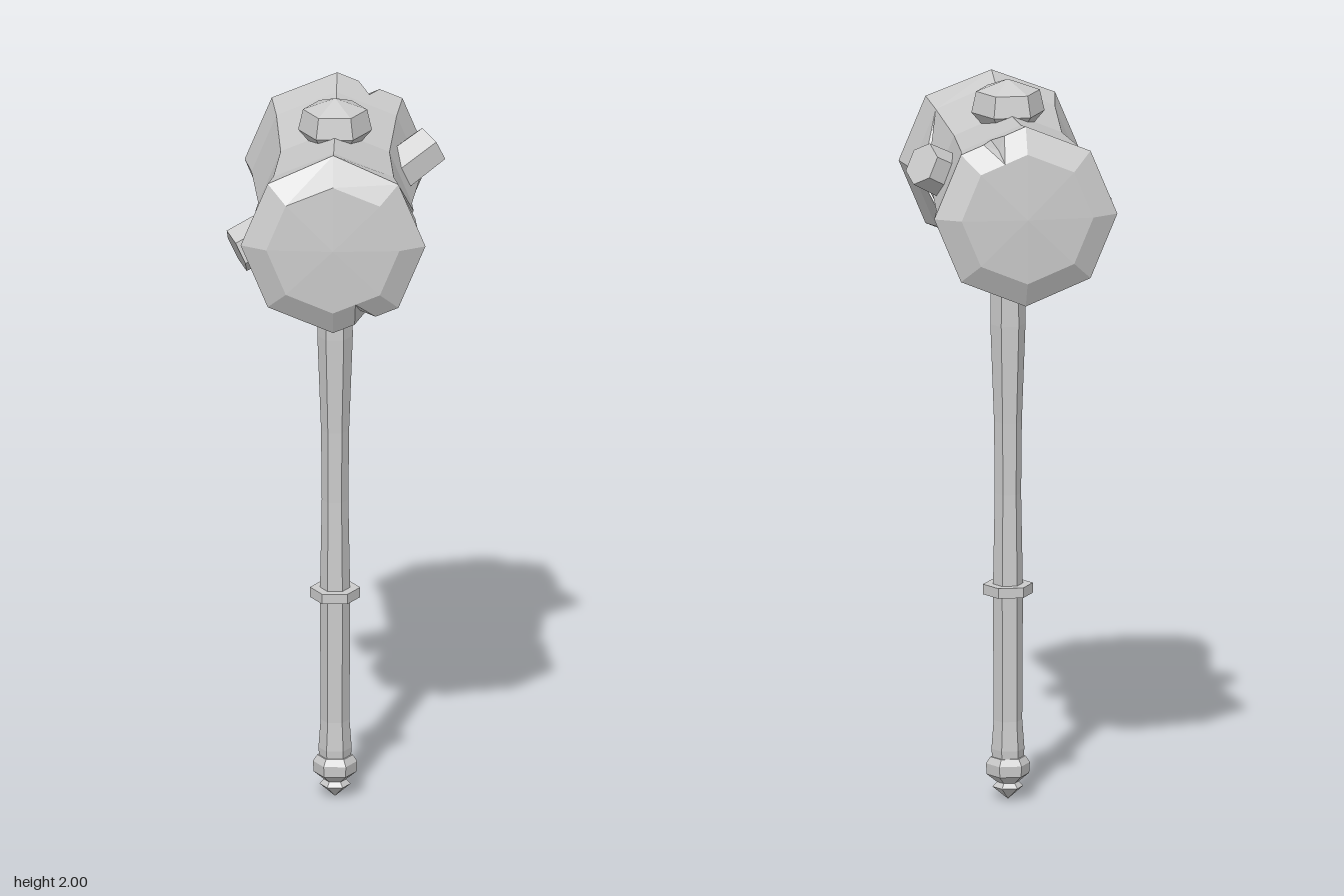
import * as THREE from 'three';

const HEAD_Y = 1.7;
const V = (x, y, z) => new THREE.Vector3(x, y, z);
const mix = (a, b, t) => a.clone().lerp(b, t);

// Octagonal stone head along z, with a diagonal crack and two chipped rims
function headGeometry() {
  const rings = [[-0.39, 0.18], [-0.353, 0.25], [-0.25, 0.23], [0, 0.208], [0.25, 0.23], [0.35, 0.25], [0.39, 0.18]];
  const p = (k, i) => {
    const a = (i * Math.PI) / 4;
    const [z, r] = rings[k];
    // front rim is worn back a little at the top
    return V(r * Math.cos(a), r * Math.sin(a), k === 5 && i % 8 === 2 ? 0.325 : z);
  };
  const out = [];
  const tri = (a, b, c) => {
    const n = b.clone().sub(a).cross(c.clone().sub(a));
    const flip = n.dot(a.clone().add(b).add(c)) < 0;
    for (const v of flip ? [a, c, b] : [a, b, c]) out.push(v.x, v.y, v.z);
  };
  const poly = (...v) => {
    for (let j = 1; j < v.length - 1; j++) tri(v[0], v[j], v[j + 1]);
  };

  // plain facets; the skipped cells hold the crack and the chips
  const skip = new Set(['3,0', '3,7', '0,1', '1,1', '4,6', '5,6']);
  for (let k = 0; k < 6; k++)
    for (let i = 0; i < 8; i++)
      if (!skip.has(k + ',' + i)) poly(p(k, i), p(k, i + 1), p(k + 1, i + 1), p(k + 1, i));

  // shallow pointed end faces
  for (let i = 0; i < 8; i++) {
    poly(V(0, 0, -0.4), p(0, i), p(0, i + 1));
    poly(V(0, 0, 0.4), p(6, i), p(6, i + 1));
  }

  // crack across the two facets on the left side
  const A0 = p(3, 1), A1 = p(4, 1), B0 = p(3, 0), B1 = p(4, 0), C0 = p(3, 7), C1 = p(4, 7);
  const front = mix(B0, B1, 0.5), back = mix(B0, B1, 0.25), deep = V(0.178, -0.01, 0.105);
  poly(A1, B1, front);
  poly(A1, front, deep);
  poly(A1, deep, back);
  poly(A1, back, B0, A0);
  poly(C0, C1, B1, front);
  poly(C0, front, deep);
  poly(C0, deep, back);
  poly(C0, back, B0);

  // V-shaped chip in a rim: cap ring, rim ring, inner ring, two columns
  const chip = (cap, rim, inner, i, j) => {
    const r1 = p(rim, i), r2 = p(rim, j), c1 = p(cap, i), c2 = p(cap, j), s1 = p(inner, i), s2 = p(inner, j);
    const n1 = mix(r1, r2, 0.33), n2 = mix(r1, r2, 0.65);
    const tip = mix(mix(r1, r2, 0.52), mix(s1, s2, 0.52), 0.48);
    const edge = mix(c1, c2, 0.48);
    const pit = mix(r1, r2, 0.48).multiply(V(0.86, 0.86, 1));
    poly(tip, s1, r1, n1);
    poly(tip, n2, r2, s2);
    poly(tip, s1, s2);
    poly(r1, n1, edge, c1);
    poly(n2, r2, c2, edge);
    poly(tip, n1, pit);
    poly(tip, pit, n2);
    poly(edge, n1, pit);
    poly(edge, pit, n2);
  };
  chip(0, 1, 2, 2, 1);
  chip(6, 5, 4, 6, 7);

  const g = new THREE.BufferGeometry();
  g.setAttribute('position', new THREE.Float32BufferAttribute(out, 3));
  g.computeVertexNormals();
  return g;
}

export function createModel() {
  const group = new THREE.Group();
  const mat = new THREE.MeshStandardMaterial({ color: 0xcccccc, flatShading: true });
  const stone = mat.clone();
  stone.side = THREE.DoubleSide;

  const add = (name, geometry, material = mat) => {
    const m = new THREE.Mesh(geometry, material);
    m.name = name;
    group.add(m);
    return m;
  };
  // six-sided turned part from [radius, y] pairs, corners on the x axis
  const hex = (name, profile) =>
    add(name, new THREE.LatheGeometry(profile.map(([r, y]) => new THREE.Vector2(r, y)), 6, Math.PI / 6));

  add('hammerHead', headGeometry(), stone).position.y = HEAD_Y;

  // stud on top of the head and collar under it
  hex('topStud', [[0, 1.875], [0.07, 1.875], [0.1, 1.91], [0.087, 1.968], [0, 2]]);
  hex('headCollar', [[0, 1.45], [0.055, 1.45], [0.068, 1.465], [0.068, 1.495], [0.05, 1.52], [0, 1.52]]);

  // shaft, grip ring and pommel
  hex('handle', [[0.042, 0.1], [0.045, 0.14], [0.039, 0.22], [0.041, 0.58], [0.036, 0.85], [0.038, 1.05], [0.048, 1.32], [0.046, 1.5]]);
  hex('gripRing', [[0.035, 0.57], [0.068, 0.57], [0.068, 0.598], [0.035, 0.598]]);
  hex('pommel', [[0, 0], [0.042, 0.035], [0.03, 0.048], [0.058, 0.07], [0.06, 0.1], [0.048, 0.118], [0, 0.118]]);

  // tilted pegs sticking out of the head sides
  const peg = (name, from, to, r) => {
    const dir = to.clone().sub(from);
    const m = add(name, new THREE.CylinderGeometry(r, r * 1.06, dir.length(), 6));
    m.position.copy(from).add(to).multiplyScalar(0.5);
    m.quaternion.setFromUnitVectors(V(0, 1, 0), dir.normalize());
  };
  peg('leftPeg', V(0.15, 1.745, -0.1), V(0.258, 1.81, -0.163), 0.06);
  peg('rightPeg', V(-0.15, 1.64, 0.04), V(-0.265, 1.588, 0.076), 0.062);

  return group;
}
